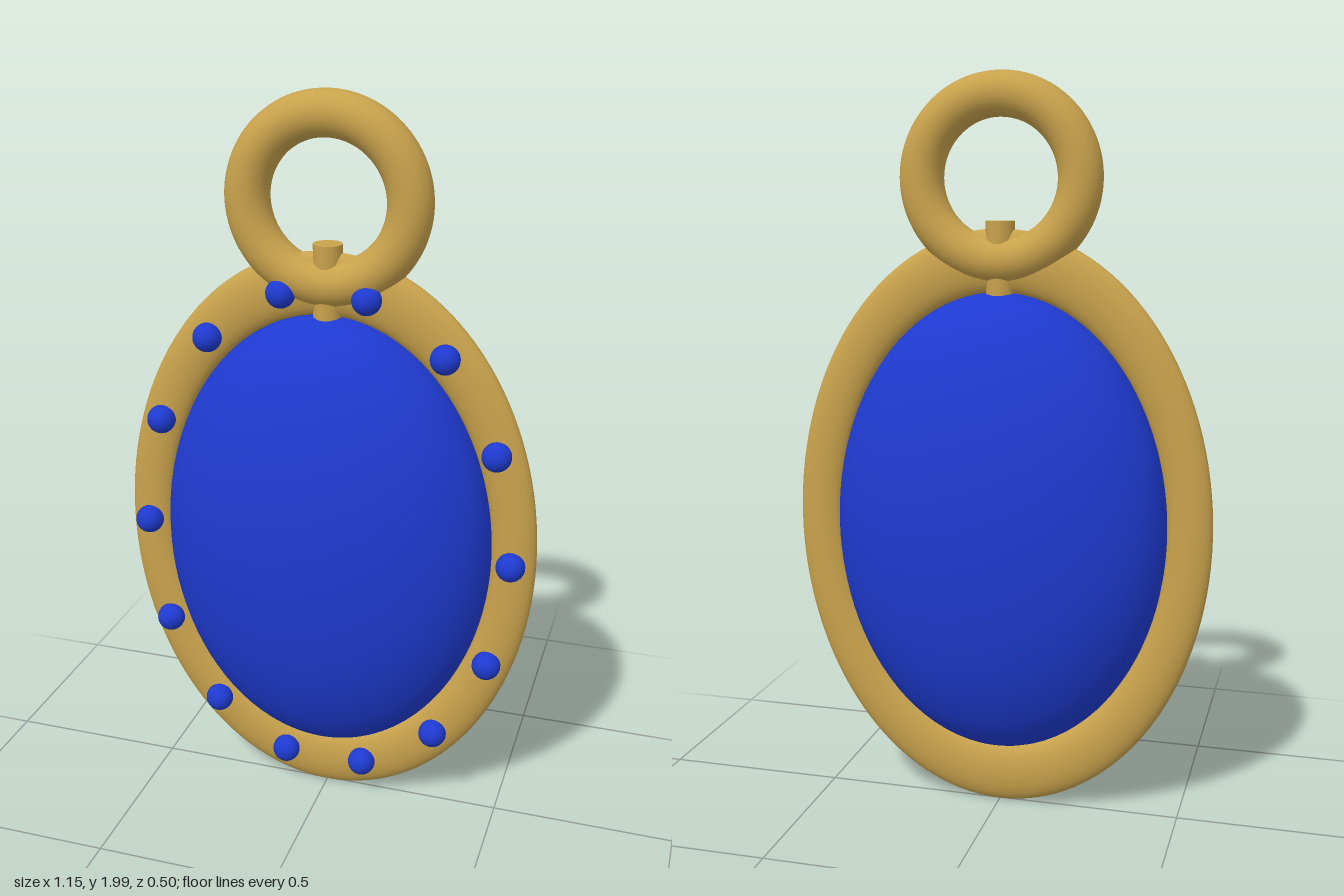
import * as THREE from 'three';

export function createModel() {
  const gold = new THREE.MeshStandardMaterial({ color: 0xc8a24c });
  const blue = new THREE.MeshStandardMaterial({ color: 0x1e3ad0 });
  const group = new THREE.Group();
  const centerY = 0.805;

  const add = (name, geometry, material, x, y, z) => {
    const mesh = new THREE.Mesh(geometry, material);
    mesh.name = name;
    mesh.position.set(x, y, z);
    group.add(mesh);
    return mesh;
  };

  // Oval frame: a torus stretched in height and flattened in depth
  const frame = new THREE.TorusGeometry(0.515, 0.06, 32, 128).scale(1, 1.383, 0.56);
  add('frame', frame, gold, 0, centerY, 0);

  // Domed oval stone
  const stone = new THREE.SphereGeometry(1, 64, 48).scale(0.455, 0.63, 0.25);
  add('stone', stone, blue, 0, centerY, 0);

  // Small beads set around the front of the frame
  const beadGeometry = new THREE.SphereGeometry(0.039, 24, 16);
  const beadCount = 14;
  for (let i = 0; i < beadCount; i++) {
    const a = (i / beadCount) * Math.PI * 2;
    add('bead', beadGeometry, blue, 0.513 * Math.cos(a), centerY + 0.705 * Math.sin(a), 0.04);
  }

  // Hanging loop and the pin that joins it to the frame
  add('hangingLoop', new THREE.TorusGeometry(0.2125, 0.0585, 32, 96), gold, 0, 1.729, 0);
  add('pin', new THREE.CylinderGeometry(0.038, 0.038, 0.2, 32), gold, 0, 1.52, 0);

  return group;
}
